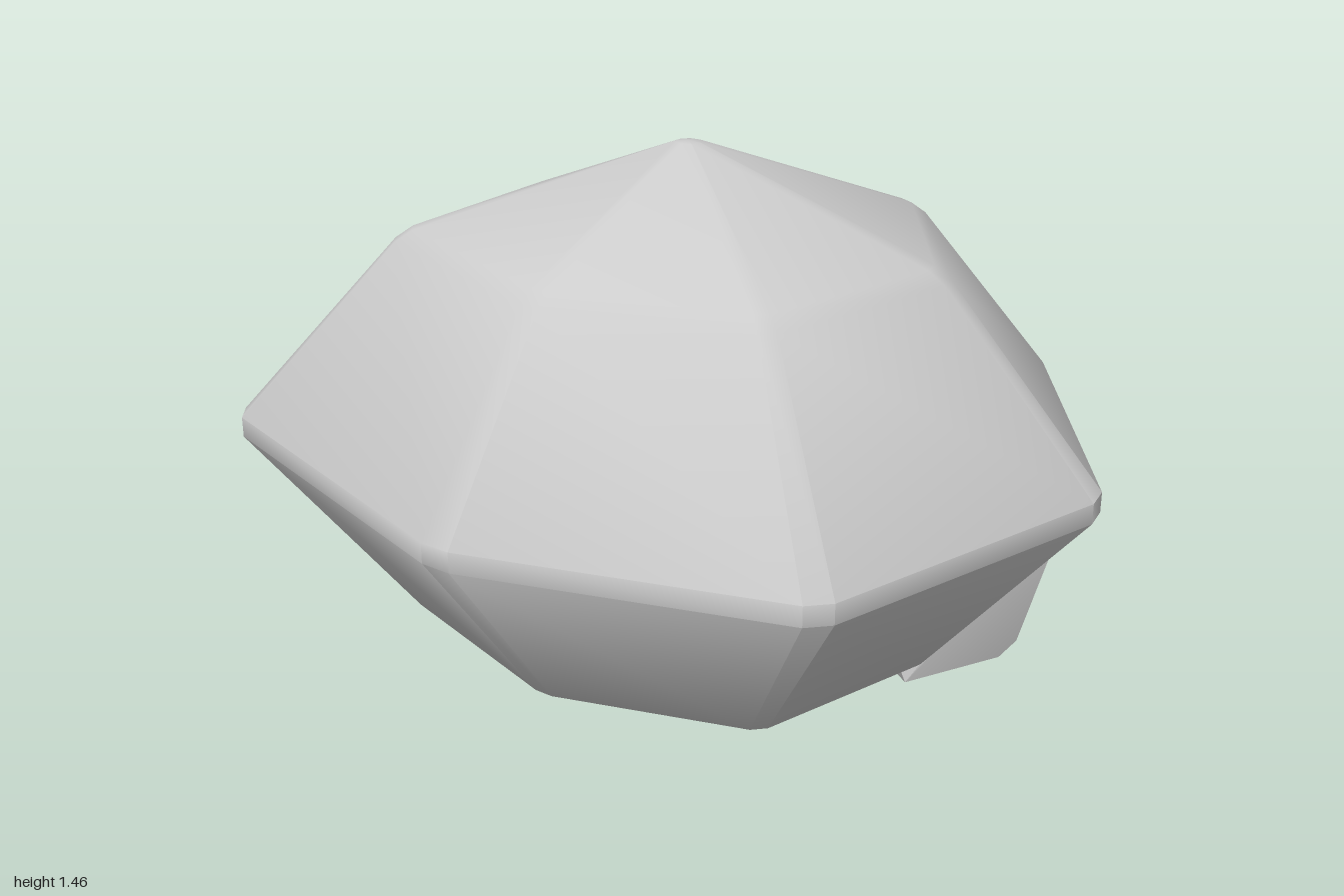
import * as THREE from 'three';
import { toCreasedNormals } from 'three/addons/utils/BufferGeometryUtils.js';
import { ConvexGeometry } from 'three/addons/geometries/ConvexGeometry.js';

const material = new THREE.MeshStandardMaterial({ color: 0xcccccc });

// Seven-sided outline of the waist, as [x, z]
const outline = [[-0.21, -0.81], [0.645, -0.78], [1.01, -0.03], [0.625, 0.695], [-0.21, 0.81], [-1.02, 0.4], [-0.825, -0.39]];

// Cut each corner of the outline a little
function bevelled(corners, t) {
  const n = corners.length;
  return corners.flatMap(([x, z], i) => [corners[(i + n - 1) % n], corners[(i + 1) % n]]
    .map(([u, v]) => [x + (u - x) * t, z + (v - z) * t]));
}

// Stack scaled outlines: [scale, y, x shift, z shift]
function stackGeometry(points, levels) {
  const n = points.length, pos = [];
  const at = (i, j) => {
    const [s, y, dx, dz] = levels[i], [x, z] = points[j % n];
    return [x * s + dx, y, z * s + dz];
  };
  for (let i = 0; i < levels.length - 1; i++) {
    for (let j = 0; j < n; j++) {
      const a = at(i, j), b = at(i, j + 1), c = at(i + 1, j), d = at(i + 1, j + 1);
      if (levels[i + 1][0] > 0) pos.push(...a, ...c, ...d);
      if (levels[i][0] > 0) pos.push(...a, ...(levels[i + 1][0] > 0 ? d : c), ...b);
    }
  }
  const g = new THREE.BufferGeometry();
  g.setAttribute('position', new THREE.Float32BufferAttribute(pos, 3));
  return toCreasedNormals(g, 0.66);
}

// Small faceted lump with bevelled outer corners
function lumpGeometry() {
  const v = (x, y, z) => new THREE.Vector3(x, y, z);
  const outer = [v(0.885, 0.62, -0.25), v(0.67, 0.575, -0.72), v(0.57, 0.19, -0.61), v(0.77, 0.18, -0.24)];
  const inner = [v(0.4, 0.6, 0.0), v(0.3, 0.5, -0.5), v(0.25, 0.18, -0.58), v(0.59, 0.2, 0.03)];
  const points = [...inner, v(0.39, 0.1, -0.27)];
  outer.forEach((p, i) => {
    for (const q of [outer[(i + 1) % 4], outer[(i + 3) % 4], inner[i]]) {
      points.push(p.clone().lerp(q, 0.04 / p.distanceTo(q)));
    }
  });
  return toCreasedNormals(new ConvexGeometry(points), 0.6);
}

export function createModel() {
  const group = new THREE.Group();
  const add = (name, geometry) => {
    const mesh = new THREE.Mesh(geometry, material);
    mesh.name = name;
    group.add(mesh);
  };

  // Boulder: pointed base, wide waist band, domed top
  add('boulder', stackGeometry(bevelled(outline, 0.045), [
    [0, 0, -0.03, 0], [0.57, 0.215, 0, 0], [0.62, 0.24, 0, 0],
    [1, 0.695, 0, 0], [1, 0.745, 0, 0],
    [0.63, 1.195, 0, 0], [0.59, 1.225, 0, 0],
    [0.03, 1.46, 0.03, 0.05], [0, 1.463, 0.03, 0.05],
  ]));

  // Lump growing from the lower flank
  add('lump', lumpGeometry());
  return group;
}
